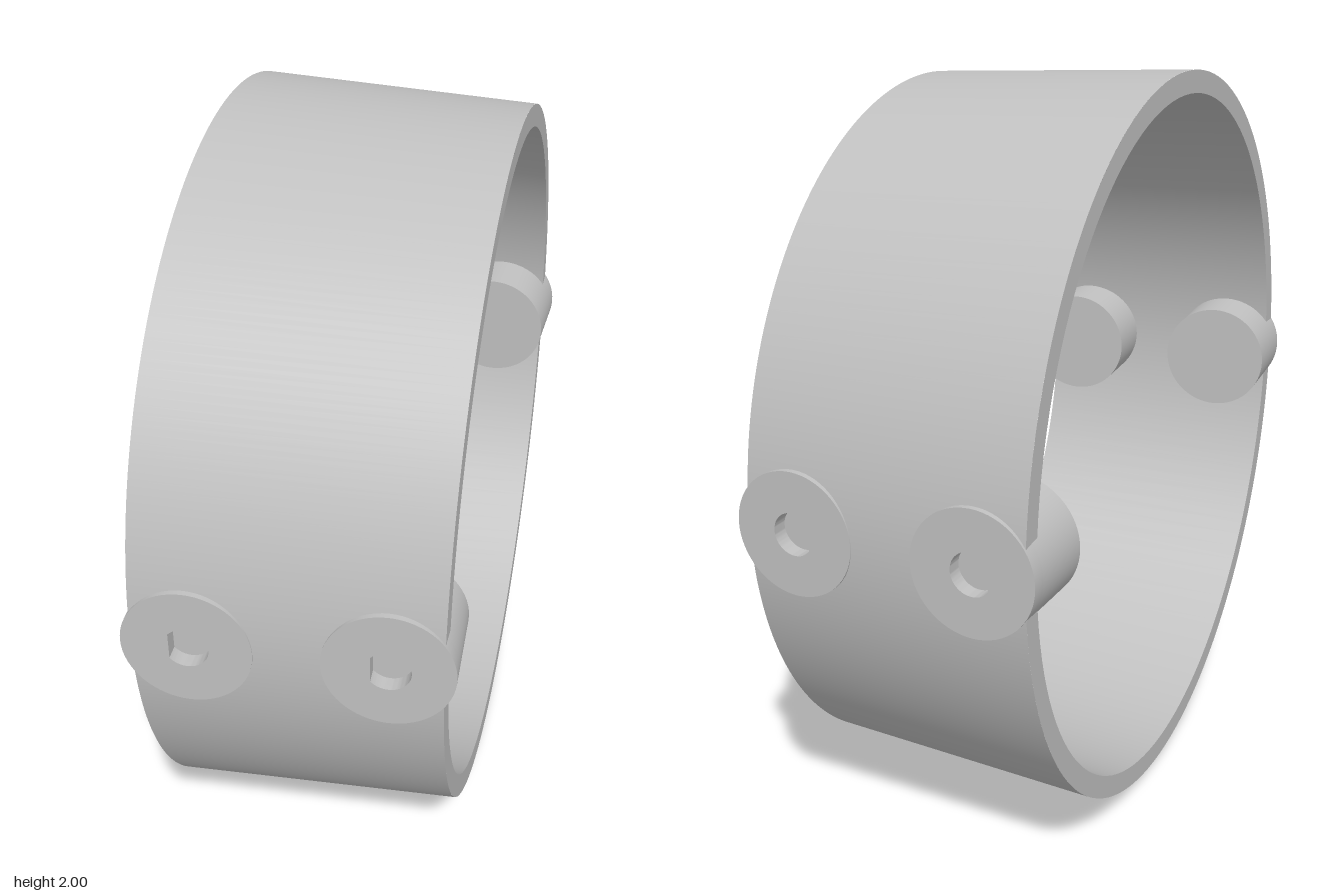
import * as THREE from 'three';
import { toCreasedNormals } from 'three/addons/utils/BufferGeometryUtils.js';

const X0 = -0.375, X1 = 0.37, R0 = 1, SLOPE = 0.047, WALL = 0.06;
const BAND = 0.2; // half angle of the strip that carries the pegs
const PEG_X = 0.24, PEG_R = 0.16, PEG_LEN = 0.23, RECESS = 0.04;
const radius = (x) => R0 - SLOPE * (x - X0);

export function createModel() {
  const metal = new THREE.MeshStandardMaterial({ color: 0xc0c0c0 });
  const add = (parent, geometry, name) => {
    const mesh = new THREE.Mesh(geometry, metal);
    mesh.name = name;
    parent.add(mesh);
    return mesh;
  };

  // Surface of revolution about the x axis, from two [radius, x] points
  const turned = (points, start = 0, length = Math.PI * 2) =>
    new THREE.LatheGeometry(points.map(([r, x]) => new THREE.Vector2(r, x)), 128, start, length)
      .rotateZ(-Math.PI / 2);

  // Outer wall cell between xa and xb with a round hole for a peg
  function holedCell(xa, xb, cx) {
    const g = new THREE.PlaneGeometry(1, 1, 64, 4);
    const corners = [[xa, -BAND], [xb, -BAND], [xb, BAND], [xa, BAND], [xa, -BAND]];
    const pos = g.attributes.position, nor = g.attributes.normal;
    const n = new THREE.Vector3();
    for (let i = 0; i < pos.count; i++) {
      const t = (i % 65) / 16, v = Math.floor(i / 65) / 4;
      const k = Math.min(3, Math.floor(t)), f = t - k;
      const ox = THREE.MathUtils.lerp(corners[k][0], corners[k + 1][0], f);
      const oa = THREE.MathUtils.lerp(corners[k][1], corners[k + 1][1], f);
      const dir = Math.atan2(oa, ox - cx);
      const x = THREE.MathUtils.lerp(cx + 0.1 * Math.cos(dir), ox, v);
      const a = THREE.MathUtils.lerp(0.1 * Math.sin(dir), oa, v);
      pos.setXYZ(i, x, radius(x) * Math.sin(a), radius(x) * Math.cos(a));
      n.set(SLOPE, Math.sin(a), Math.cos(a)).normalize();
      nor.setXYZ(i, n.x, n.y, n.z);
    }
    return g;
  }

  // Peg head: a disc with a notched round recess
  const disc = new THREE.Shape().absarc(0, 0, PEG_R, 0, Math.PI * 2);
  const recess = new THREE.Path();
  recess.moveTo(-0.01, 0);
  recess.absarc(0, 0, 0.055, Math.PI + 0.7, 3 * Math.PI - 0.7, false);
  recess.closePath();
  disc.holes.push(recess);
  const headGeometry = toCreasedNormals(
    new THREE.ExtrudeGeometry(disc, { depth: RECESS, bevelEnabled: false, curveSegments: 32 })
      .translate(0, 0, -RECESS), 0.6);
  const shankLength = PEG_LEN - RECESS;
  const shankGeometry = new THREE.CylinderGeometry(PEG_R, PEG_R, shankLength, 64)
    .rotateX(Math.PI / 2).translate(0, 0, -RECESS - shankLength / 2);

  const ring = new THREE.Group();
  ring.name = 'ring';
  ring.position.y = 1;

  // Inner wall and the two end rims
  const a = radius(X0), b = radius(X1);
  add(ring, turned([[b - WALL, X1], [a - WALL, X0]]), 'innerWall');
  add(ring, turned([[b, X1], [b - WALL, X1]]), 'smallRim');
  add(ring, turned([[a - WALL, X0], [a, X0]]), 'largeRim');

  // Front and back halves: outer wall, peg strip and two pegs
  for (const side of ['front', 'back']) {
    const half = new THREE.Group();
    half.name = side + 'Half';
    half.rotation.x = side === 'front' ? 0 : Math.PI;
    add(half, turned([[a, X0], [b, X1]], BAND, Math.PI - 2 * BAND), 'outerWall');
    add(half, holedCell(X0, 0, -PEG_X), 'outerWallRight');
    add(half, holedCell(0, X1, PEG_X), 'outerWallLeft');
    for (const x of [-PEG_X, PEG_X]) {
      const peg = new THREE.Group();
      peg.name = 'peg';
      peg.position.set(x, 0, radius(x) + 0.002);
      peg.rotation.y = Math.atan(SLOPE);
      add(peg, headGeometry, 'pegHead');
      add(peg, shankGeometry, 'pegShank');
      half.add(peg);
    }
    ring.add(half);
  }

  const model = new THREE.Group();
  model.name = 'peggedRing';
  model.add(ring);
  return model;
}
